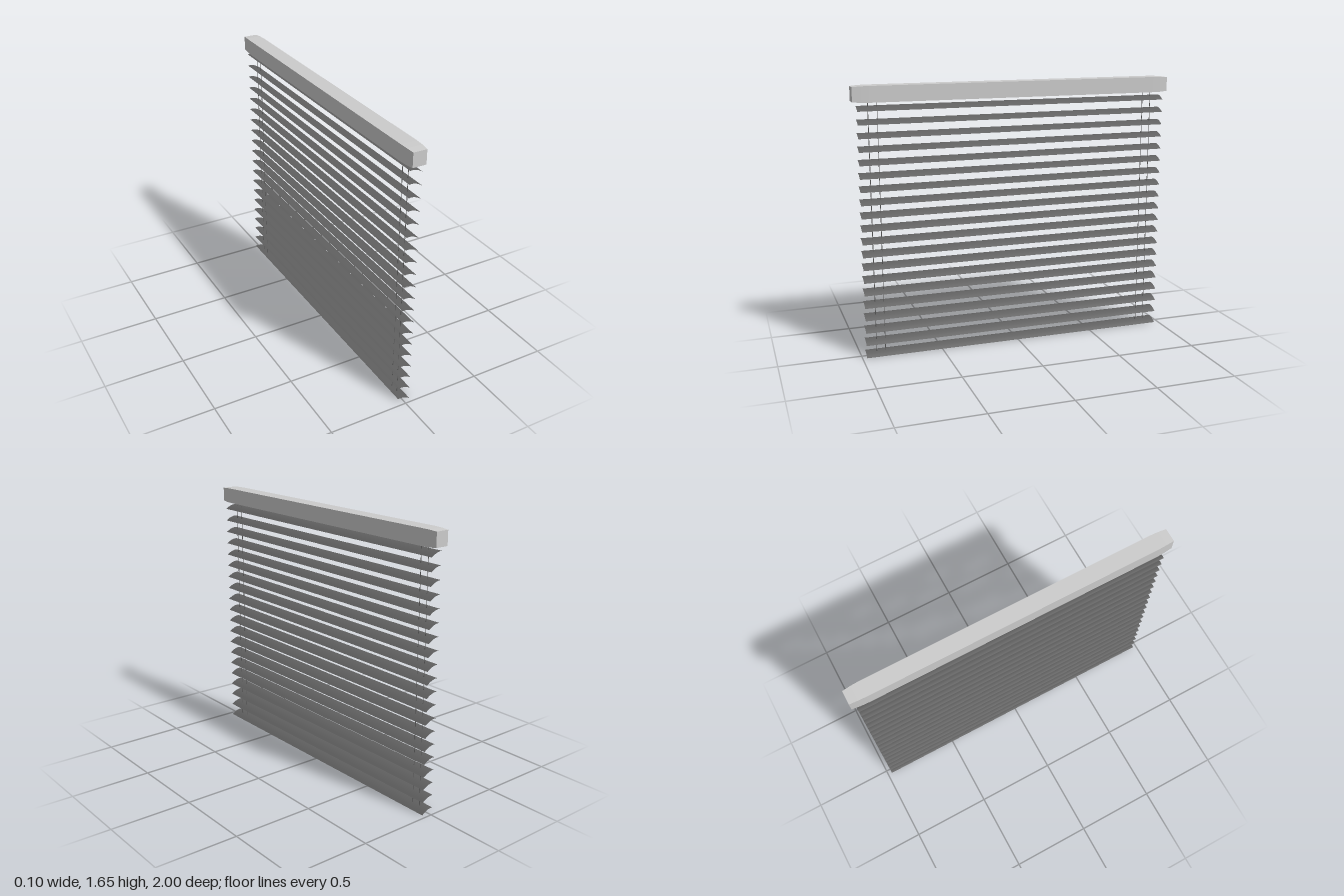
import * as THREE from 'three';

const railMaterial = new THREE.MeshStandardMaterial({ color: 0xcccccc, flatShading: true });
const slatMaterial = new THREE.MeshStandardMaterial({ color: 0x606060, side: THREE.DoubleSide });
const cordMaterial = new THREE.MeshStandardMaterial({ color: 0x606060 });

const SLATS = 20;
const PITCH = 0.0792;
const SLAT_HALF = 0.973;

// Head rail: a long box whose section narrows softly toward both ends
function headRail() {
  const geometry = new THREE.BoxGeometry(0.098, 0.096, 2, 1, 1, 40);
  const p = geometry.attributes.position;
  for (let i = 0; i < p.count; i++) {
    const t = Math.max(0, (Math.abs(p.getZ(i)) - 0.88) / 0.12);
    p.setX(i, p.getX(i) * (1 - 0.14 * t * t));
    p.setY(i, p.getY(i) * (1 - 0.1 * t ** 3));
  }
  geometry.computeVertexNormals();
  const mesh = new THREE.Mesh(geometry, railMaterial);
  mesh.name = 'headRail';
  mesh.position.y = 1.602;
  return mesh;
}

// Slat: a thin curved strip, its high edge at -x and its low edge at +x
function slatGeometry() {
  const curve = new THREE.SplineCurve([
    [-0.036, 0.0245], [-0.02, 0.026], [0, 0.0225], [0.022, 0.0135], [0.044, 0],
  ].map(([x, y]) => new THREE.Vector2(x, y)));
  const steps = 10;
  const geometry = new THREE.PlaneGeometry(1, 2 * SLAT_HALF, steps, 1);
  geometry.rotateX(-Math.PI / 2);
  const p = geometry.attributes.position;
  for (let i = 0; i < p.count; i++) {
    const point = curve.getPoint(p.getX(i) + 0.5);
    p.setX(i, point.x);
    p.setY(i, point.y);
  }
  geometry.computeVertexNormals();
  return geometry;
}

export function createModel() {
  const model = new THREE.Group();
  model.name = 'windowBlind';
  model.add(headRail());

  const slats = new THREE.Group();
  slats.name = 'slats';
  const strip = slatGeometry();
  for (let i = 0; i < SLATS; i++) {
    const slat = new THREE.Mesh(strip, slatMaterial);
    slat.name = 'slat';
    slat.position.y = i * PITCH;
    slats.add(slat);
  }
  model.add(slats);

  // Lift cords: a pair near each end, running from the rail to the bottom slat
  const cords = new THREE.Group();
  cords.name = 'cords';
  const bottom = 0.01, top = 1.57;
  const cordGeometry = new THREE.CylinderGeometry(0.002, 0.002, top - bottom, 8);
  for (const side of [-1, 1]) {
    for (const z of [0.851, 0.905]) {
      const cord = new THREE.Mesh(cordGeometry, cordMaterial);
      cord.name = 'cord';
      cord.position.set(0, (top + bottom) / 2, side * z);
      cords.add(cord);
    }
  }
  model.add(cords);
  return model;
}
